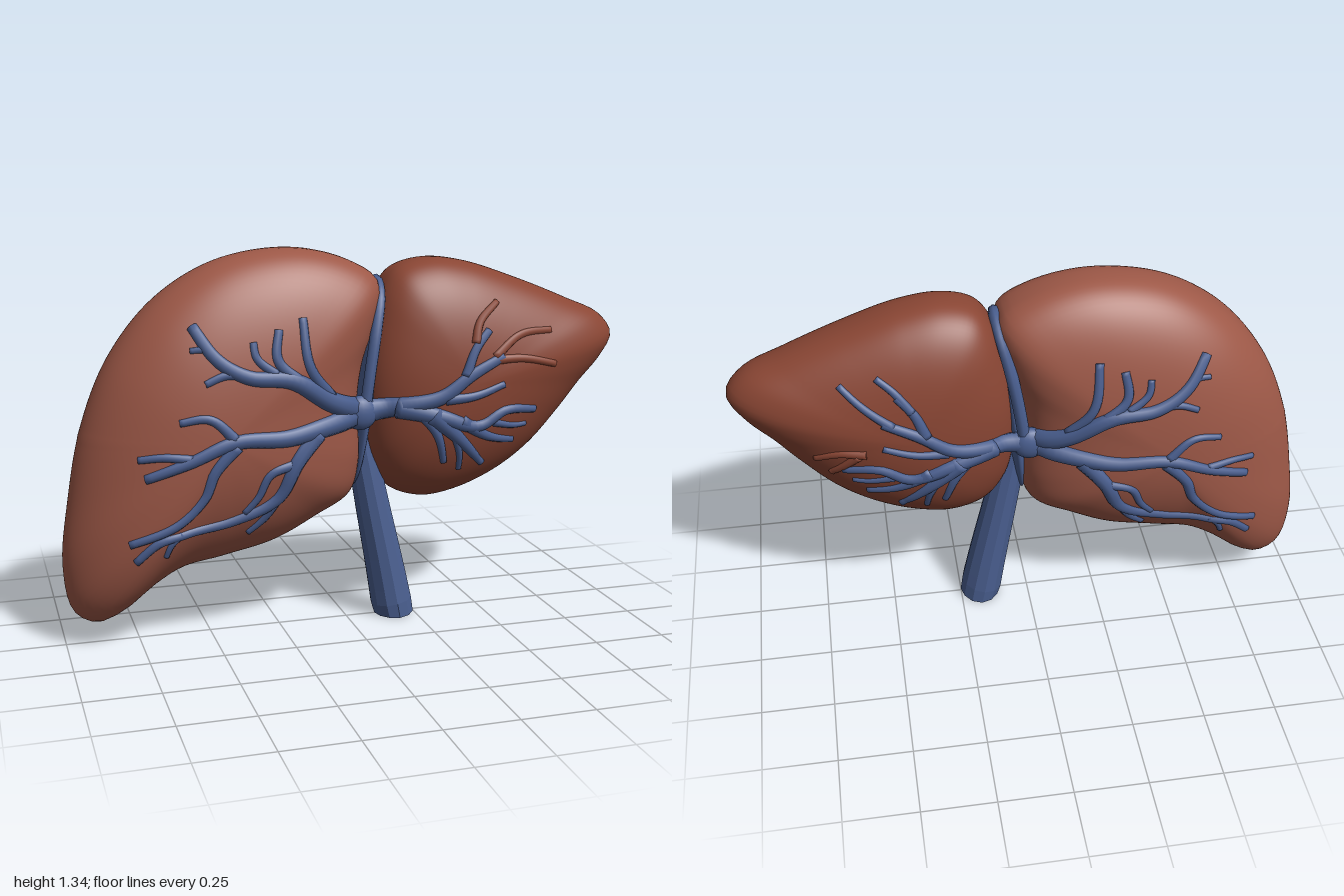
import * as THREE from 'three';
import { mergeVertices } from 'three/addons/utils/BufferGeometryUtils.js';

const paint = (color, flatShading = false) => new THREE.MeshStandardMaterial({ color, flatShading });

// Weld a geometry and give it smooth normals
function smooth(geometry) {
  geometry.deleteAttribute('uv');
  geometry.deleteAttribute('normal');
  const welded = mergeVertices(geometry, 1e-5);
  welded.computeVertexNormals();
  return welded;
}

// A lobe is an outline swollen around a centre; inward is the x direction of the other lobe
function makeLobe(center, depth, inward, outline) {
  const curve = new THREE.CatmullRomCurve3(outline.map(([x, y]) => new THREE.Vector3(x, y, 0)), true);
  const rim = curve.getSpacedPoints(500).map((p) => {
    const dx = p.x - center[0], dy = p.y - center[1];
    return { a: Math.atan2(dy, dx), r: Math.hypot(dx, dy) };
  }).sort((p, q) => p.a - q.a);
  const radius = (a) => {
    const j = rim.findIndex((p) => p.a > a);
    if (j <= 0) return rim[0].r;
    const p = rim[j - 1], q = rim[j];
    return p.r + (q.r - p.r) * (a - p.a) / (q.a - p.a || 1);
  };
  // Blunt towards the groove and the top, sharper towards the lower edge
  const swell = (t, a) => {
    const power = 0.5 - 0.08 * Math.sin(a) - 0.18 * Math.max(0, Math.cos(a) * inward) ** 2;
    return depth * Math.pow(Math.max(0, 1 - t * t), power);
  };
  const height = (x, y) => {
    const dx = x - center[0], dy = y - center[1], a = Math.atan2(dy, dx);
    return swell(Math.hypot(dx, dy) / radius(a), a);
  };
  const geometry = new THREE.SphereGeometry(1, 160, 56).rotateX(Math.PI / 2);
  const pos = geometry.attributes.position;
  for (let i = 0; i < pos.count; i++) {
    const x = pos.getX(i), y = pos.getY(i), z = pos.getZ(i);
    const a = Math.atan2(y, x), t = Math.min(1, Math.hypot(x, y)), r = radius(a);
    const h = Math.abs(z) < 1e-6 ? 0 : Math.sign(z) * swell(t, a);
    pos.setXYZ(i, center[0] + Math.cos(a) * t * r, center[1] + Math.sin(a) * t * r, h);
  }
  return { geometry: smooth(geometry), height };
}

// Tube with a changing radius and closed ends
function taperedTube(points, radiusAt, n, sides, zScale = 1) {
  const curve = new THREE.CatmullRomCurve3(points);
  const geometry = new THREE.TubeGeometry(curve, n, 1, sides);
  const pos = geometry.attributes.position, v = new THREE.Vector3();
  for (let i = 0; i < pos.count; i++) {
    const ring = Math.floor(i / (sides + 1));
    const c = curve.getPointAt(ring / n);
    const end = ring === 0 || ring === n;
    const seat = end ? curve.getPointAt((ring === 0 ? 1 : n - 1) / n) : c;
    v.fromBufferAttribute(pos, i).sub(c).multiplyScalar(end ? 0 : radiusAt(ring / n));
    v.z *= zScale;
    v.add(seat);
    pos.setXYZ(i, v.x, v.y, v.z);
  }
  return smooth(geometry);
}

const largeOutline = [[0.1, 1.22], [0, 1.29], [-0.2, 1.335], [-0.45, 1.3], [-0.66, 1.18], [-0.82, 0.99],
  [-0.92, 0.76], [-0.975, 0.5], [-1, 0.28], [-0.97, 0.12], [-0.9, 0.075], [-0.82, 0.1], [-0.7, 0.19],
  [-0.6, 0.245], [-0.45, 0.275], [-0.27, 0.32], [-0.12, 0.4], [0, 0.48], [0.03, 0.6], [0.02, 0.8],
  [0.04, 0.95], [0.09, 1.1]];
const smallOutline = [[0.12, 1.2], [0.17, 1.26], [0.28, 1.29], [0.42, 1.275], [0.62, 1.21], [0.82, 1.13],
  [0.95, 1.07], [1, 1], [0.96, 0.92], [0.88, 0.83], [0.8, 0.73], [0.68, 0.6], [0.55, 0.51], [0.4, 0.45],
  [0.27, 0.435], [0.15, 0.48], [0.08, 0.58], [0.05, 0.72], [0.05, 0.9], [0.08, 1.08]];

// Each branch: start radius, end radius, path over the surface
const largeLobeVeins = [
  [0.05, 0.018, [[0.02, 0.78], [-0.12, 0.84], [-0.25, 0.92], [-0.4, 0.94], [-0.5, 1.0], [-0.58, 1.12]]],
  [0.02, 0.012, [[-0.38, 0.94], [-0.47, 0.95], [-0.55, 0.92]]],
  [0.024, 0.014, [[-0.22, 0.91], [-0.3, 0.99], [-0.29, 1.1]]],
  [0.024, 0.014, [[-0.1, 0.84], [-0.19, 0.96], [-0.21, 1.14]]],
  [0.018, 0.012, [[-0.3, 0.94], [-0.37, 1.0], [-0.38, 1.06]]],
  [0.016, 0.01, [[-0.48, 0.98], [-0.53, 1.03], [-0.59, 1.03]]],
  [0.05, 0.016, [[0.02, 0.78], [-0.15, 0.75], [-0.27, 0.73], [-0.45, 0.73], [-0.6, 0.67], [-0.76, 0.61]]],
  [0.022, 0.012, [[-0.44, 0.73], [-0.53, 0.81], [-0.64, 0.8]]],
  [0.018, 0.012, [[-0.58, 0.68], [-0.68, 0.69], [-0.77, 0.68]]],
  [0.036, 0.014, [[-0.15, 0.75], [-0.24, 0.64], [-0.3, 0.52], [-0.45, 0.45], [-0.62, 0.42], [-0.7, 0.4], [-0.79, 0.32]]],
  [0.024, 0.014, [[-0.43, 0.73], [-0.52, 0.63], [-0.55, 0.55], [-0.64, 0.46], [-0.81, 0.39]]],
  [0.02, 0.012, [[-0.24, 0.64], [-0.33, 0.61], [-0.37, 0.53], [-0.42, 0.47]]],
  [0.02, 0.012, [[-0.3, 0.52], [-0.34, 0.45], [-0.4, 0.39]]],
  [0.016, 0.01, [[-0.62, 0.43], [-0.66, 0.39], [-0.68, 0.34]]],
];
const smallLobeVeins = [
  [0.05, 0.016, [[0, 0.78], [0.15, 0.8], [0.28, 0.83], [0.38, 0.9], [0.52, 0.97]]],
  [0.022, 0.014, [[0.36, 0.89], [0.4, 0.99], [0.46, 1.06]]],
  [0.022, 0.012, [[0.28, 0.82], [0.4, 0.83], [0.52, 0.87]]],
  [0.045, 0.014, [[0.12, 0.8], [0.28, 0.76], [0.42, 0.72], [0.52, 0.77], [0.66, 0.76]]],
  [0.045, 0.012, [[0.24, 0.78], [0.35, 0.68], [0.47, 0.56]]],
  [0.026, 0.012, [[0.2, 0.79], [0.27, 0.7], [0.31, 0.58]]],
  [0.03, 0.012, [[0.34, 0.75], [0.46, 0.68], [0.58, 0.65]]],
  [0.018, 0.01, [[0.33, 0.7], [0.36, 0.62], [0.37, 0.55]]],
  [0.016, 0.01, [[0.47, 0.73], [0.56, 0.71], [0.62, 0.71]]],
];
const frontTwigs = [
  [0.02, 0.012, [[0.4, 1.0], [0.42, 1.08], [0.5, 1.15]]],
  [0.018, 0.012, [[0.46, 0.95], [0.58, 0.95], [0.72, 0.92]]],
  [0.018, 0.012, [[0.46, 0.95], [0.57, 1.03], [0.71, 1.04]]],
];
const backVeins = [
  [0.02, 0.012, [[0.46, 0.94], [0.56, 1.02], [0.64, 1.1]]],
  [0.018, 0.012, [[0.4, 0.99], [0.46, 1.07], [0.52, 1.12]]],
];
const backTwigs = [
  [0.02, 0.012, [[0.55, 0.84], [0.65, 0.84], [0.74, 0.8]]],
  [0.02, 0.012, [[0.58, 0.84], [0.65, 0.77], [0.69, 0.73]]],
];

export function createModel() {
  const model = new THREE.Group();
  const add = (name, geometry, material, parent = model) => {
    const mesh = new THREE.Mesh(geometry, material);
    mesh.name = name;
    parent.add(mesh);
    return mesh;
  };
  const largeColor = paint(0x9d5847), smallColor = paint(0x8a4634);
  const veinColor = paint(0x4a5f90), stemColor = paint(0x4a5f90, true);

  // Lobes
  const large = makeLobe([-0.48, 0.73], 0.255, 1, largeOutline);
  const small = makeLobe([0.4, 0.87], 0.218, -1, smallOutline);
  add('largeLobe', large.geometry, largeColor);
  add('smallLobe', small.geometry, smallColor);
  const surface = (x, y) => Math.max(0.14, large.height(x, y), small.height(x, y));

  // Veins and twigs half sunk in the front and back
  const lay = (name, list, side, material) => {
    const group = new THREE.Group();
    group.name = name;
    model.add(group);
    for (const [r0, r1, path] of list) {
      const flat = new THREE.CatmullRomCurve3(path.map(([x, y]) => new THREE.Vector3(x, y, 0)));
      const points = flat.getSpacedPoints(path.length * 3).map((p) => p.setZ(side * surface(p.x, p.y)));
      add('branch', taperedTube(points, (t) => r0 + (r1 - r0) * Math.sqrt(t), path.length * 6, 8, 0.7), material, group);
    }
  };
  for (const [place, side] of [['front', 1], ['back', -1]]) {
    lay(place + 'LargeLobeVeins', largeLobeVeins, side, veinColor);
    lay(place + 'SmallLobeVeins', smallLobeVeins, side, veinColor);
    const hub = add(place + 'Hub', new THREE.SphereGeometry(0.06, 16, 12), veinColor);
    hub.position.set(0.01, 0.78, side * 0.14);
    hub.scale.set(1, 1, 0.6);
  }
  lay('frontTwigs', frontTwigs, 1, smallColor);
  lay('backUpperVeins', backVeins, -1, veinColor);
  lay('backTwigs', backTwigs, -1, smallColor);

  // Band in the groove between the lobes, passing over the top
  const half = [[0.02, 0.74, 0.14], [0.045, 0.92, 0.14], [0.07, 1.06, 0.125], [0.095, 1.17, 0.08]];
  const band = [...half, [0.105, 1.215, 0], ...half.map(([x, y, z]) => [x, y, -z]).reverse()];
  add('grooveBand', taperedTube(band.map((p) => new THREE.Vector3(...p)), () => 0.021, 48, 8), veinColor);
  const core = add('grooveCore', new THREE.SphereGeometry(1, 24, 24), veinColor);
  core.position.set(0.055, 0.85, 0);
  core.scale.set(0.03, 0.36, 0.12);
  core.rotation.z = -0.1;

  // Main stem, flared towards its flat foot
  const stemPath = [[0.01, 0.84], [0.06, 0.6], [0.1, 0.4], [0.145, 0.18], [0.19, -0.06]];
  const stem = taperedTube(stemPath.map(([x, y]) => new THREE.Vector3(x, y, 0)),
    (t) => (t > 0.92 ? 0.073 : 0.047 + 0.032 * t), 16, 12, 1.12);
  const pos = stem.attributes.position;
  for (let i = 0; i < pos.count; i++) pos.setY(i, Math.max(0, pos.getY(i)));
  stem.computeVertexNormals();
  add('stem', stem, stemColor);
  return model;
}
